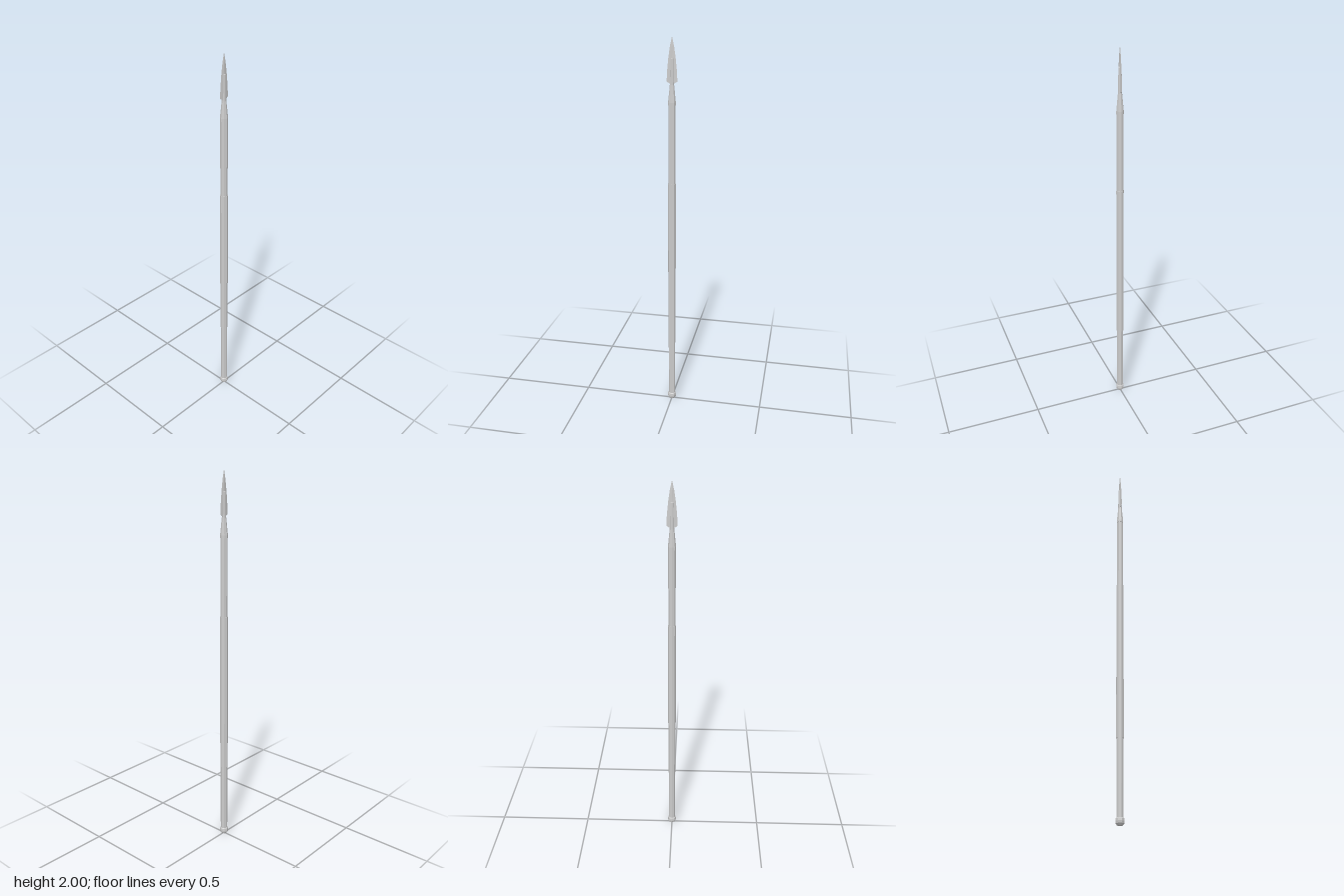
import * as THREE from 'three';

const grey = new THREE.MeshStandardMaterial({ color: 0xcccccc, flatShading: true, side: THREE.DoubleSide });

// Eight-sided turned part from [radius, height] pairs
function turned(name, profile) {
  const points = profile.map(([r, y]) => new THREE.Vector2(r, y));
  const mesh = new THREE.Mesh(new THREE.LatheGeometry(points, 8), grey);
  mesh.name = name;
  return mesh;
}

// Flat blade: thin diamond cross-sections, rising from the barbs to the tip
function makeBlade() {
  // [half width, edge height, ridge height, half thickness]
  const sections = [
    [0.027, 1.785, 1.77, 0.005],
    [0.024, 1.84, 1.84, 0.005],
    [0.018, 1.90, 1.90, 0.004],
    [0.010, 1.955, 1.955, 0.003],
    [0, 2, 2, 0],
  ];
  const positions = [];
  const index = [];
  sections.forEach(([w, edgeY, ridgeY, t]) => {
    positions.push(w, edgeY, 0, 0, ridgeY, t, -w, edgeY, 0, 0, ridgeY, -t);
  });
  for (let i = 0; i < sections.length - 1; i++) {
    for (let j = 0; j < 4; j++) {
      const a = i * 4 + j, b = i * 4 + (j + 1) % 4;
      index.push(a, a + 4, b, b, a + 4, b + 4);
    }
  }
  index.push(0, 1, 3, 1, 2, 3); // underside
  const geometry = new THREE.BufferGeometry();
  geometry.setAttribute('position', new THREE.Float32BufferAttribute(positions, 3));
  geometry.setIndex(index);
  geometry.computeVertexNormals();
  const mesh = new THREE.Mesh(geometry, grey);
  mesh.name = 'blade';
  return mesh;
}

export function createModel() {
  const spear = new THREE.Group();
  spear.name = 'spear';
  spear.add(
    // Rounded cap on the butt end
    turned('buttCap', [[0, 0], [0.015, 0.002], [0.022, 0.011], [0.0235, 0.022], [0.022, 0.034], [0.018, 0.038]]),
    turned('shaft', [[0.0185, 0.03], [0.0185, 1.68], [0, 1.68]]),
    // Slightly thicker wrapped grip
    turned('grip', [[0.0185, 0.42], [0.0205, 0.42], [0.0205, 1.27], [0.0185, 1.27]]),
    // Tapered socket running up into the blade
    turned('socket', [[0, 1.67], [0.0195, 1.67], [0.0195, 1.685], [0.011, 1.77], [0.008, 1.895], [0, 1.90]]),
    makeBlade(),
  );
  return spear;
}
